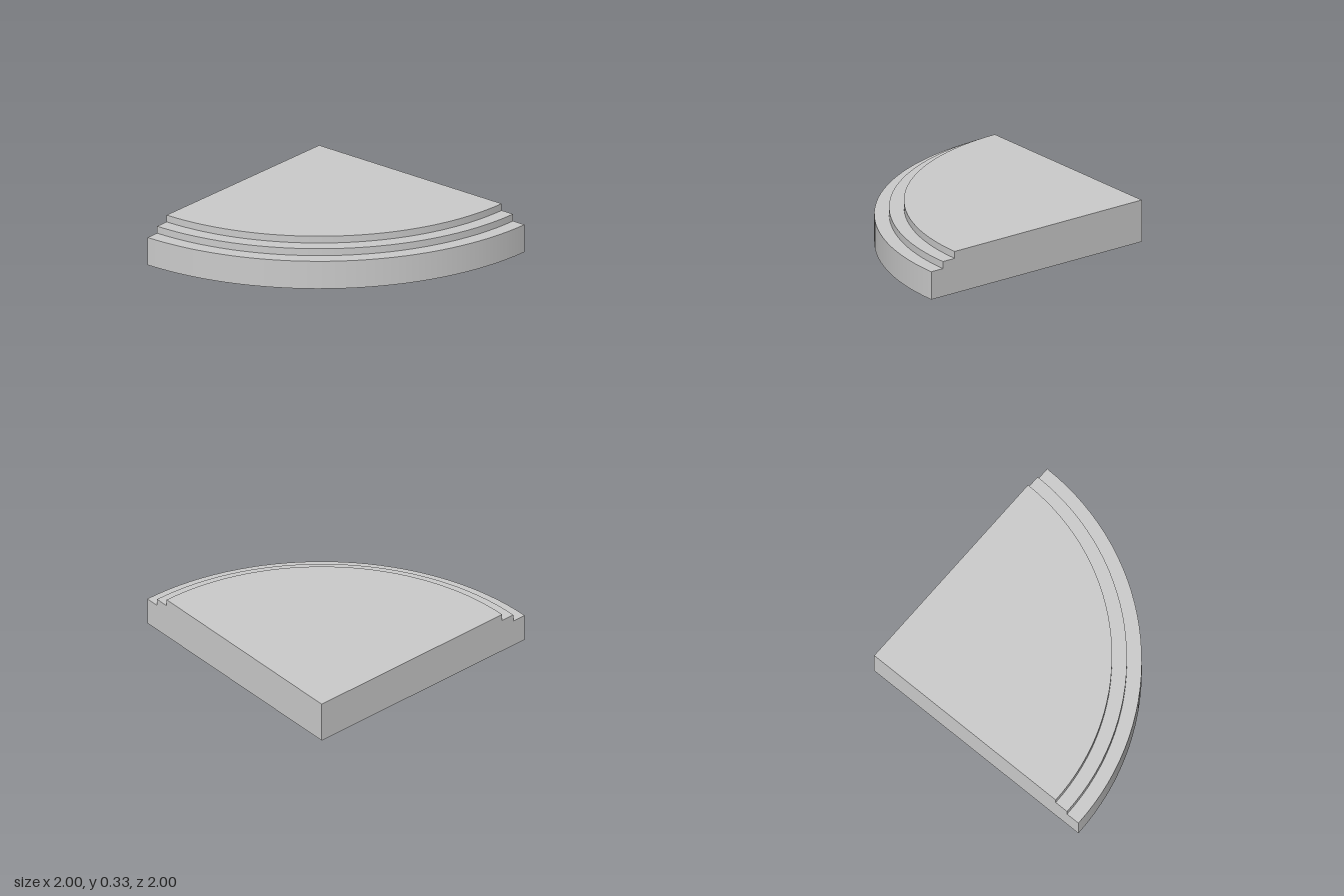
import * as THREE from 'three';
import { mergeGeometries } from 'three/addons/utils/BufferGeometryUtils.js';

const SEGMENTS = 32;

// Stepped cross-section as [radius, height], from the axis out and back
const PROFILE = [
  [0, 0], [2, 0], [2, 0.222], [1.889, 0.222],
  [1.889, 0.278], [1.778, 0.278], [1.778, 0.333], [0, 0.333],
].map(([r, y]) => new THREE.Vector2(r, y));

export function createModel() {
  const group = new THREE.Group();
  group.name = 'quarterRoundSteps';
  const material = new THREE.MeshStandardMaterial({ color: 0xcccccc });

  const add = (name, geometry) => {
    const mesh = new THREE.Mesh(geometry, material);
    mesh.name = name;
    mesh.position.set(-1, 0, -1); // the corner is the centre of the arcs
    group.add(mesh);
  };

  // Each profile edge is swept on its own, so treads and risers meet sharply
  const bands = PROFILE.slice(1).map((end, i) =>
    new THREE.LatheGeometry([PROFILE[i], end], SEGMENTS, 0, Math.PI / 2));
  add('steppedBody', mergeGeometries(bands));

  // Flat walls closing the two straight sides
  const wall = new THREE.Shape(PROFILE);
  add('rightWall', new THREE.ShapeGeometry(wall).rotateY(-Math.PI / 2));

  const mirrored = new THREE.Shape(PROFILE.map((p) => new THREE.Vector2(-p.x, p.y)));
  add('backWall', new THREE.ShapeGeometry(mirrored).rotateY(Math.PI));

  return group;
}
